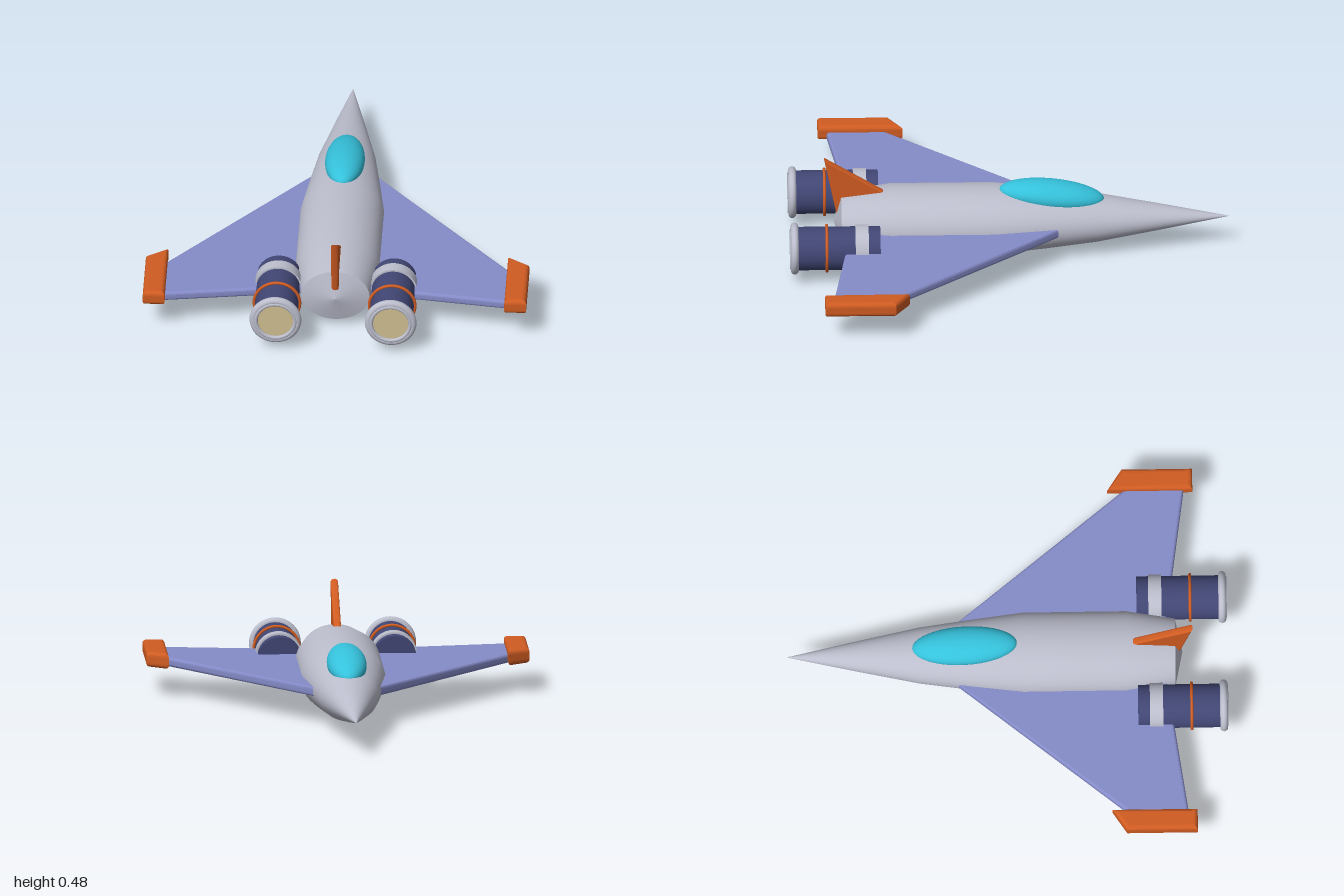
import * as THREE from 'three';

const mat = (name, color, side = THREE.FrontSide) => {
  const m = new THREE.MeshStandardMaterial({ color, side });
  m.name = name;
  return m;
};

export function createModel() {
  const hull = mat('hull grey', 0xbcbecd);
  const wingBlue = mat('wing blue', 0x858bc8);
  const navy = mat('engine navy', 0x414674);
  const orange = mat('trim orange', 0xd05c22);
  const glass = mat('canopy cyan', 0x35c2dc);
  const glow = mat('exhaust cream', 0xcfbf90);

  const model = new THREE.Group();
  model.name = 'starfighter';
  const add = (parent, name, geo, material, x = 0, y = 0, z = 0) => {
    const mesh = new THREE.Mesh(geo, material);
    mesh.name = name;
    mesh.position.set(x, y, z);
    parent.add(mesh);
    return mesh;
  };

  // Surface of revolution along z, from [radius, z] pairs in rising z
  const turned = (pts, segments = 48) =>
    new THREE.LatheGeometry(pts.map(p => new THREE.Vector2(...p)), segments).rotateX(Math.PI / 2);

  // Plate with rounded edges whose outline is kept at full size
  const plate = (pts, thickness, bevel) => {
    const geo = new THREE.ExtrudeGeometry(new THREE.Shape(pts.map(p => new THREE.Vector2(...p))), {
      depth: thickness - 2 * bevel, bevelEnabled: true, bevelThickness: bevel,
      bevelSize: bevel, bevelOffset: -bevel, bevelSegments: 4,
    });
    return geo.translate(0, 0, bevel - thickness / 2);
  };

  // Fuselage with an oval section
  const midY = 0.157;
  const body = turned([[0.001, -1], [0.067, -0.7], [0.13, -0.4], [0.162, -0.17], [0.192, 0.07],
    [0.192, 0.54], [0.155, 0.762]]).scale(1, 0.81, 1);
  add(model, 'fuselage', body, hull, 0, midY);
  const tail = turned([[0.155, 0.762], [0, 0.795]]).scale(1, 0.81, 1);
  add(model, 'tailCone', tail, hull, 0, midY);

  // Canopy, tipped to follow the slope of the nose
  const canopy = add(model, 'canopy', new THREE.SphereGeometry(1, 40, 28), glass, 0, 0.279, -0.195);
  canopy.scale.set(0.09, 0.066, 0.24);
  canopy.rotation.x = -0.12;

  // Tail fin, drawn in (-z, y)
  const fin = plate([[-0.84, 0.477], [-0.785, 0.2], [-0.55, 0.295]], 0.034, 0.012).rotateY(Math.PI / 2);
  add(model, 'tailFin', fin, orange);

  for (const s of [1, -1]) {
    const side = new THREE.Group();
    side.name = s > 0 ? 'leftSide' : 'rightSide';
    model.add(side);
    const flat = (pts, t, b) => plate(pts.map(([x, z]) => [s * x, z]), t, b).rotateX(Math.PI / 2);

    // Wing and wingtip pod, drawn in (x, z)
    add(side, 'wing', flat([[0.14, -0.24], [0.8, 0.565], [0.8, 0.815], [0.14, 0.722]], 0.042, 0.014),
      wingBlue, 0, 0.157);
    add(side, 'wingtipPod', flat([[0.772, 0.465], [0.772, 0.852], [0.872, 0.852], [0.872, 0.53]], 0.07, 0.02),
      orange, 0, 0.171);

    // Engine
    const engine = new THREE.Group();
    engine.name = 'engine';
    engine.position.set(s * 0.262, midY, 0);
    side.add(engine);
    add(engine, 'engineBarrel', new THREE.CylinderGeometry(0.099, 0.099, 0.375, 40).rotateX(Math.PI / 2),
      navy, 0, 0, 0.777);
    add(engine, 'engineBand', new THREE.CylinderGeometry(0.107, 0.107, 0.06, 40).rotateX(Math.PI / 2),
      hull, 0, 0, 0.673);
    add(engine, 'engineHoop', new THREE.TorusGeometry(0.104, 0.007, 10, 48), orange, 0, 0, 0.833);
    add(engine, 'nozzleRim', new THREE.TorusGeometry(0.1, 0.018, 14, 48), hull, 0, 0, 0.979);
    add(engine, 'nozzleLip', new THREE.TorusGeometry(0.089, 0.009, 10, 48), hull, 0, 0, 0.991);
    add(engine, 'exhaust', new THREE.CylinderGeometry(0.088, 0.088, 0.03, 40).rotateX(Math.PI / 2),
      glow, 0, 0, 0.973);
  }
  return model;
}
